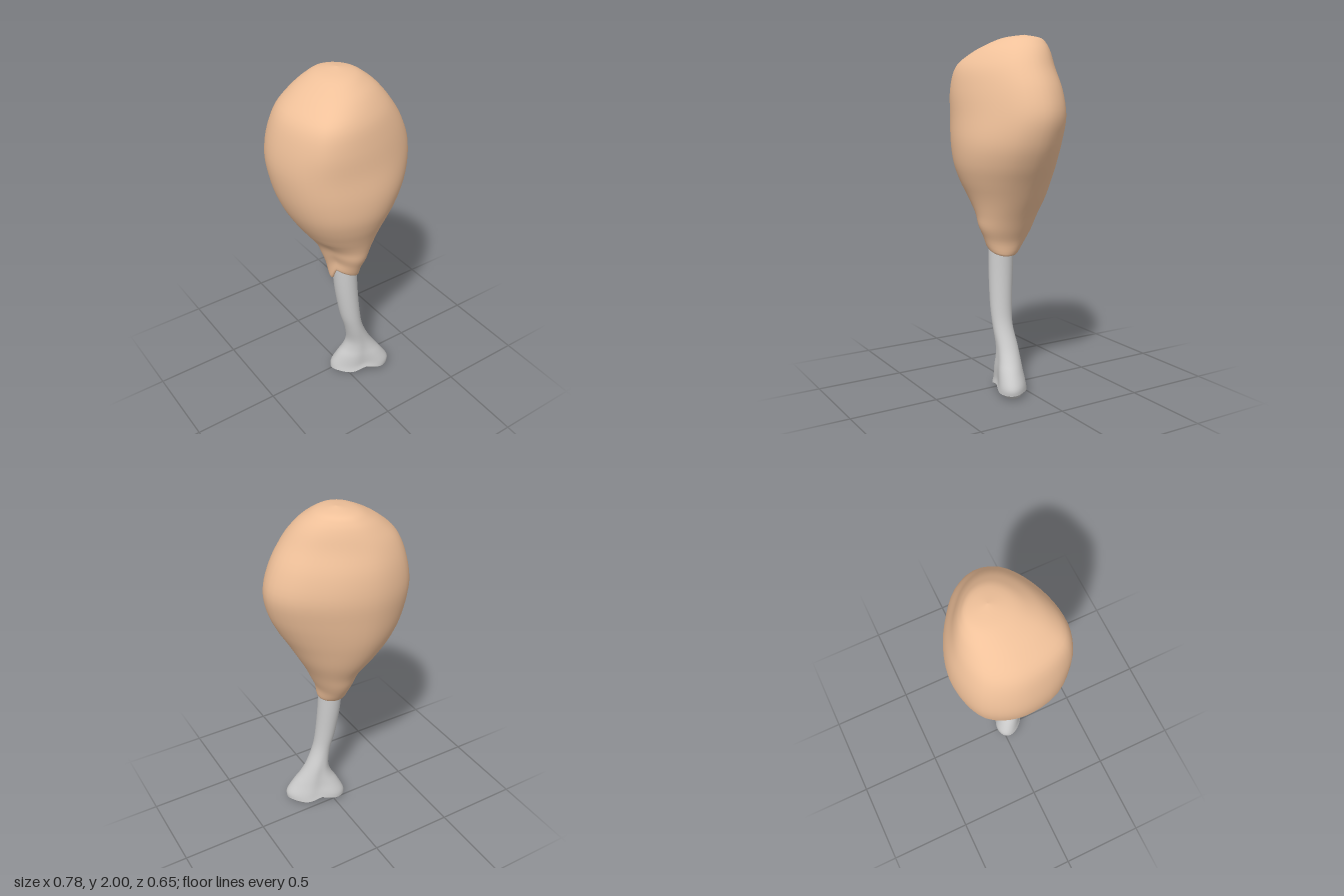
import * as THREE from 'three';

const SIDES = 48;
const clamp = THREE.MathUtils.clamp;

// Egg-shaped outline of the meat seen from above, in -1..1, starting at +x and turning to +z
const egg = new THREE.CatmullRomCurve3([
  [1, 0.04], [0.92, 0.43], [0.7, 0.71], [0.38, 0.92], [0.03, 1], [-0.34, 0.95], [-0.66, 0.79], [-0.9, 0.46],
  [-1, -0.03], [-0.96, -0.43], [-0.79, -0.77], [-0.5, -0.95], [-0.16, -1], [0.22, -0.88], [0.58, -0.63], [0.86, -0.34],
].map(([x, z]) => new THREE.Vector3(x, 0, z)), true);

// Smoothly resample rows of numbers (y, x min, x max, z min, z max, shape)
function resample(rows, steps) {
  const out = [];
  for (let i = 0; i < rows.length - 1; i++) {
    const [a, b, c, d] = [-1, 0, 1, 2].map(k => rows[clamp(i + k, 0, rows.length - 1)]);
    for (let s = 0; s < steps; s++) {
      const t = s / steps;
      out.push(b.map((v, k) => v + 0.5 * t * (c[k] - a[k]
        + t * (2 * a[k] - 5 * v + 4 * c[k] - d[k] + t * (3 * (v - c[k]) + d[k] - a[k])))));
    }
  }
  out.push(rows[rows.length - 1]);
  return out;
}

// Skin a stack of rings, lowest first; section(turn, shape) gives a unit outline point
function loft(rows, section, adjust, sides = SIDES) {
  const pos = [], index = [];
  rows.forEach(([y, x0, x1, z0, z1, shape], i) => {
    for (let j = 0; j < sides; j++) {
      const [u, v] = section(j / sides, shape);
      const p = new THREE.Vector3((x0 + x1) / 2 + u * (x1 - x0) / 2, y, (z0 + z1) / 2 + v * (z1 - z0) / 2);
      adjust(p, u, v);
      pos.push(p.x, p.y, p.z);
      if (i === rows.length - 1) continue;
      const a = i * sides + j, b = i * sides + (j + 1) % sides;
      index.push(a, a + sides, b, b, a + sides, b + sides);
    }
  });
  const geo = new THREE.BufferGeometry();
  geo.setAttribute('position', new THREE.Float32BufferAttribute(pos, 3));
  geo.setIndex(index);
  geo.computeVertexNormals();
  return geo;
}

// Circle blended into the egg outline
function meatSection(t, blend) {
  const p = egg.getPoint(t), a = t * Math.PI * 2;
  return [THREE.MathUtils.lerp(Math.cos(a), p.x, blend), THREE.MathUtils.lerp(Math.sin(a), p.z, blend)];
}

// Hem raised at the front right, upper front leaning to the right
function shapeMeat(p, u, v) {
  const low = clamp((1.1 - p.y) / 0.3, 0, 1);
  const high = THREE.MathUtils.smoothstep(p.y, 1.35, 1.75) * clamp((2 - p.y) / 0.15, 0, 1);
  p.y += low * 0.04 * (1 - u) * clamp(0.3 + v * 2, 0, 1);
  p.x -= high * 0.09 * Math.max(0, v) * Math.max(0, 1 - u * u);
}

// Circle pinched at the waist and skewed diagonally, for the two-lobed knuckle
function boneSection(t, pinch) {
  const c = Math.cos(t * Math.PI * 2), s = Math.sin(t * Math.PI * 2), skew = pinch * 2.4;
  return [c, s * Math.sqrt(1 - skew * skew) * (1 - pinch * Math.exp(-c * c * 8)) + skew * c];
}

// The middle of the knuckle rises into a notch
function notch(p) {
  const fade = Math.max(0, 1 - p.y / 0.12);
  p.y += fade * (0.032 * Math.exp(-(((p.x - 0.08) / 0.06) ** 2)) + 0.01 * Math.exp(-(((p.z - 0.08) / 0.04) ** 2)));
}

export function createModel() {
  const group = new THREE.Group();
  const add = (name, geo, options) => {
    const mesh = new THREE.Mesh(geo, new THREE.MeshStandardMaterial(options));
    mesh.name = name;
    group.add(mesh);
  };

  // Meat: hem around the bone, long taper, broad body, lopsided crown
  const meatRows = [
    [0.80, -0.06, 0.03, 0.02, 0.12, 0],
    [0.775, -0.098, 0.06, -0.018, 0.15, 0],
    [0.85, -0.105, 0.075, -0.075, 0.18, 0],
    [0.92, -0.125, 0.105, -0.115, 0.208, 0.1],
    [1.0, -0.155, 0.142, -0.148, 0.222, 0.2],
    [1.1, -0.225, 0.197, -0.205, 0.25, 0.45],
    [1.2, -0.29, 0.252, -0.25, 0.29, 0.7],
    [1.3, -0.338, 0.31, -0.283, 0.318, 0.9],
    [1.42, -0.373, 0.363, -0.306, 0.325, 1],
    [1.56, -0.389, 0.387, -0.322, 0.31, 1],
    [1.7, -0.368, 0.345, -0.31, 0.298, 0.95],
    [1.82, -0.322, 0.272, -0.274, 0.268, 0.85],
    [1.9, -0.237, 0.215, -0.24, 0.2, 0.7],
    [1.95, -0.155, 0.163, -0.208, 0.125, 0.6],
    [1.983, -0.08, 0.11, -0.165, 0.05, 0.5],
    [2.0, 0.02, 0.02, -0.06, -0.06, 0.5],
  ];
  add('meat', loft(resample(meatRows, 4), meatSection, shapeMeat), { color: 0xf0c19a, side: THREE.DoubleSide });

  // Bone shaft, flaring into the knuckle
  const boneRows = [
    [0.03, -0.082, 0.258, -0.037, 0.195, 0.18],
    [0.07, -0.075, 0.256, -0.033, 0.192, 0.2],
    [0.14, -0.045, 0.215, -0.01, 0.177, 0.16],
    [0.2, -0.012, 0.175, 0.008, 0.16, 0.1],
    [0.27, 0.002, 0.135, 0.02, 0.15, 0.04],
    [0.38, -0.02, 0.088, 0.032, 0.15, 0],
    [0.5, -0.052, 0.068, 0.022, 0.15, 0],
    [0.7, -0.08, 0.055, 0.004, 0.145, 0],
    [0.9, -0.09, 0.05, -0.005, 0.14, 0],
  ];
  add('bone', loft(resample(boneRows, 4), boneSection, notch), { color: 0xcccccc });

  // Faceted underside of the knuckle
  const endRows = [
    [0.015, 0.08, 0.08, 0.08, 0.08, 0],
    [0, -0.05, 0.228, -0.005, 0.162, 0.18],
    [0.03, -0.082, 0.258, -0.037, 0.195, 0.18],
  ];
  add('knuckleEnd', loft(endRows, boneSection, notch, 16), { color: 0xcccccc, flatShading: true, side: THREE.DoubleSide });

  return group;
}
